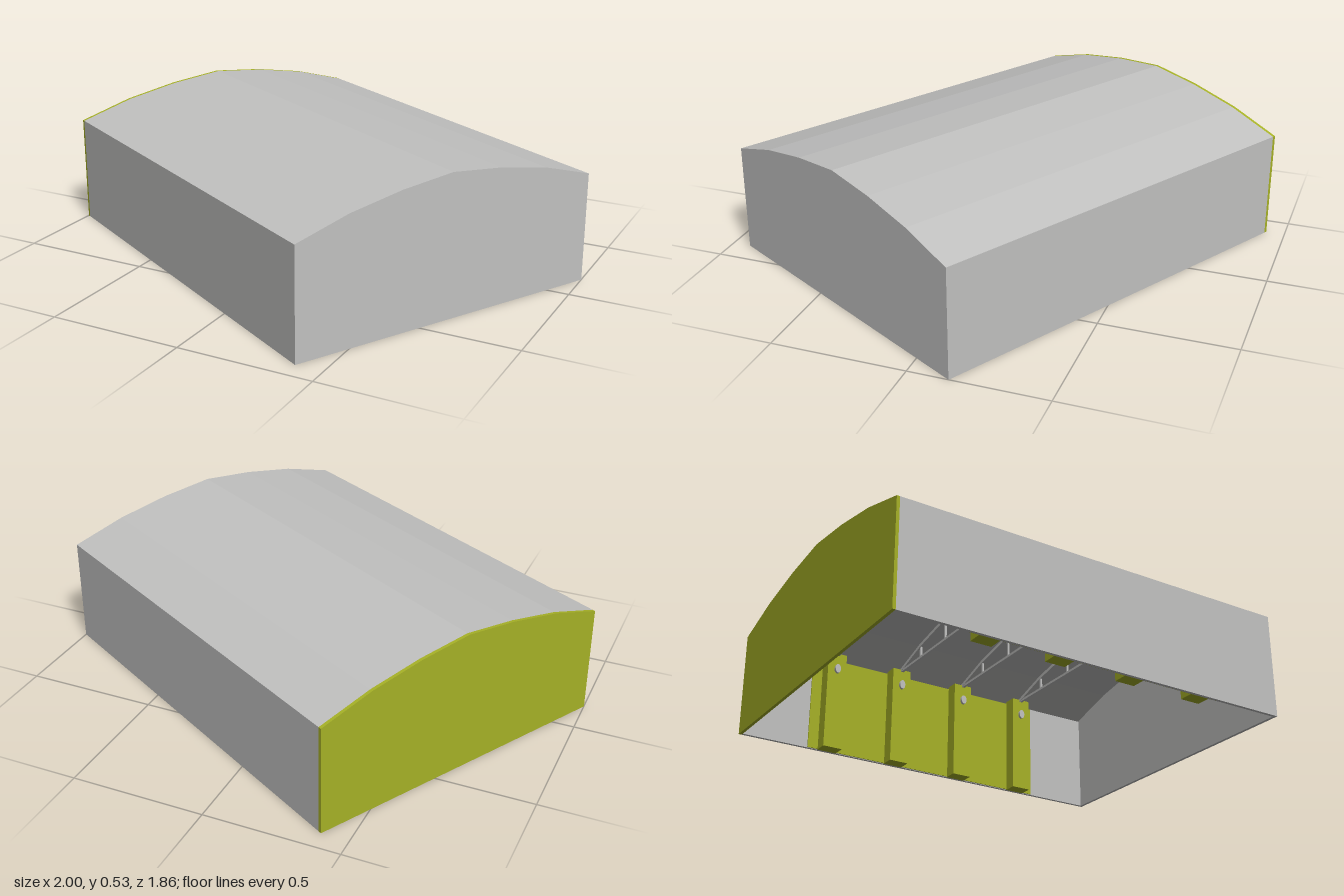
import * as THREE from 'three';

const grey = new THREE.MeshStandardMaterial({ color: 0xc2c2c1 });
grey.name = 'greyCladding';
const lime = new THREE.MeshStandardMaterial({ color: 0xa7b227 });
lime.name = 'limePaint';

const LEN = 1.603, HALF = 0.617, EAVE = 0.41, T = 0.012;
// Roof profile across the hall: [z, y]
const roofLine = [[-HALF, EAVE], [-0.412, 0.47], [-0.206, 0.508], [0, 0.53],
  [0.206, 0.508], [0.412, 0.47], [HALF, EAVE]];

export function createModel() {
  const hall = new THREE.Group();
  hall.name = 'hall';
  hall.rotation.y = -Math.atan2(0.78, 1.4);

  const add = (geo, mat, name, x = 0, y = 0, z = 0) => {
    const mesh = new THREE.Mesh(geo, mat);
    mesh.name = name;
    mesh.position.set(x, y, z);
    hall.add(mesh);
    return mesh;
  };
  const box = (w, h, d, mat, name, x, y, z) =>
    add(new THREE.BoxGeometry(w, h, d), mat, name, x, y, z);
  // Extrudes a (z, y) outline along the hall's length, starting at x
  const extrudeAlong = (pts, depth, mat, name, x) => {
    const shape = new THREE.Shape(pts.map(([z, y]) => new THREE.Vector2(z, y)));
    const geo = new THREE.ExtrudeGeometry(shape, { depth, bevelEnabled: false });
    return add(geo.rotateY(Math.PI / 2), mat, name, x);
  };
  // Band following the roof, between two depths below its surface
  const roofBand = (top, bottom, inset) => {
    const k = (HALF - inset) / HALF;
    const line = (drop) => roofLine.map(([z, y]) => [z * k, y - drop]);
    return [...line(top), ...line(bottom).reverse()];
  };

  // Roof and gable ends
  const gable = [[-HALF, 0], ...roofLine, [HALF, 0]];
  extrudeAlong(roofBand(0, T, 0), LEN - 2 * T, grey, 'roof', -LEN / 2 + T);
  extrudeAlong(gable, T, grey, 'greyGable', LEN / 2 - T);
  extrudeAlong(gable, T, lime, 'limeGable', -LEN / 2);

  // Long walls with inner panels
  for (const s of [-1, 1]) {
    const h = EAVE - T;
    box(LEN - 2 * T, h, T, grey, 'longWall', 0, h / 2, s * (HALF - T / 2));
    box(1.045, h - 0.004, 0.004, lime, 'innerPanel', 0, h / 2, s * (HALF - T - 0.002));
  }

  // Four frames: columns with bolts, and a light roof truss between them
  for (const x of [-0.44, -0.147, 0.147, 0.44]) {
    for (const s of [-1, 1]) {
      const h = EAVE - 0.006;
      box(0.08, h, 0.055, lime, 'column', x, h / 2, s * (HALF - T - 0.0275));
      const bolt = new THREE.CylinderGeometry(0.012, 0.012, 0.012, 12).rotateX(Math.PI / 2);
      bolt.scale(1, 1.6, 1);
      add(bolt, grey, 'bolt', x, 0.335, s * (HALF - T - 0.06));
    }
    extrudeAlong(roofBand(T, 0.026, 0.03), 0.012, grey, 'trussTopChord', x - 0.006);
    box(0.01, 0.01, 2 * HALF - 0.14, grey, 'trussTie', x, EAVE - 0.012, 0);
    for (const [z, y] of roofLine.slice(1, -1)) {
      const h = y - 0.02 - EAVE + 0.012;
      box(0.008, h, 0.008, grey, 'trussPost', x, EAVE - 0.012 + h / 2, z * 0.95);
    }
  }

  const model = new THREE.Group();
  model.name = 'archRoofHall';
  model.add(hall);
  return model;
}
